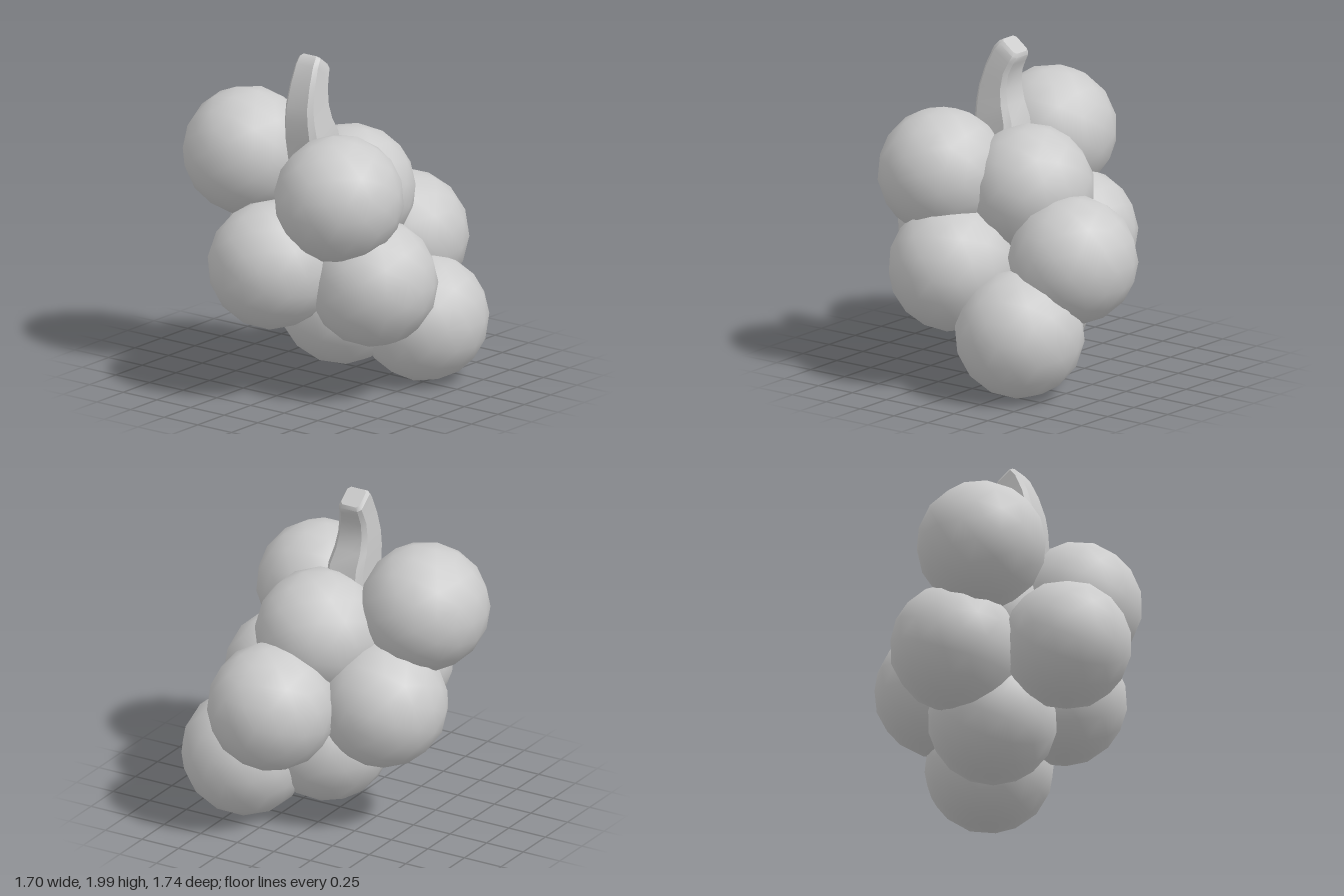
import * as THREE from 'three';
import { toCreasedNormals } from 'three/addons/utils/BufferGeometryUtils.js';

const material = new THREE.MeshStandardMaterial({ color: 0xcccccc });

// Berry centres, from the top of the bunch to the bottom
const BERRIES = [
  [-0.48, 1.34, 0.165],
  [0.34, 1.235, 0.345],
  [0.08, 1.15, -0.1],
  [-0.04, 0.8, 0.49],
  [0.17, 0.8, -0.49],
  [-0.35, 0.79, -0.09],
  [0.46, 0.71, 0.175],
  [0.05, 0.475, -0.06],
  [0.455, 0.385, -0.315],
];

// Stem sections: front z, front y, back z, back y, right x, left x
const STEM = [
  [0.24, 1.2, -0.02, 1.2, -0.12, 0.14],
  [0.3, 1.5, 0.03, 1.53, -0.12, 0.12],
  [0.3, 1.62, 0.07, 1.62, -0.12, 0.1],
  [0.29, 1.71, 0.09, 1.71, -0.117, 0.085],
  [0.25, 1.84, 0.085, 1.8, -0.113, 0.07],
  [0.2, 1.95, 0.06, 1.86, -0.11, 0.055],
  [0.165, 1.99, 0.042, 1.9, -0.11, 0.045],
  [0.145, 2.0, 0.045, 1.925, -0.095, 0.03],
];

// Square section with bevelled corners, counter-clockwise from above;
// each pair is (across the width, from back to front)
const B = 0.13;
const SECTION = [[B, 1], [1 - B, 1], [1, 1 - B], [1, B], [1 - B, 0], [B, 0], [0, B], [0, 1 - B]];

function stemGeometry() {
  const points = [];
  const faces = [];
  const n = SECTION.length;
  for (const [fz, fy, bz, by, x0, x1] of STEM) {
    for (const [u, v] of SECTION) {
      points.push(x0 + (x1 - x0) * u, by + (fy - by) * v, bz + (fz - bz) * v);
    }
  }
  for (let s = 0; s < STEM.length - 1; s++) {
    for (let i = 0; i < n; i++) {
      const a = s * n + i;
      const b = s * n + ((i + 1) % n);
      faces.push(a, b, b + n, a, b + n, a + n);
    }
  }
  // End caps
  const top = (STEM.length - 1) * n;
  for (let i = 1; i < n - 1; i++) {
    faces.push(top, top + i, top + i + 1, 0, i + 1, i);
  }
  const geometry = new THREE.BufferGeometry();
  geometry.setAttribute('position', new THREE.Float32BufferAttribute(points, 3));
  geometry.setIndex(faces);
  return toCreasedNormals(geometry, 0.6);
}

export function createModel() {
  const model = new THREE.Group();
  model.name = 'grapeBunch';

  // Berries: one coarse smooth ball, turned differently each time
  const berryGeometry = new THREE.IcosahedronGeometry(0.382, 2);
  BERRIES.forEach((centre, i) => {
    const berry = new THREE.Mesh(berryGeometry, material);
    berry.name = `berry${i + 1}`;
    berry.position.set(...centre);
    berry.rotation.set(i * 1.3, i * 2.1, i * 0.7);
    model.add(berry);
  });

  // Curved stem
  const stem = new THREE.Mesh(stemGeometry(), material);
  stem.name = 'stem';
  model.add(stem);

  return model;
}
